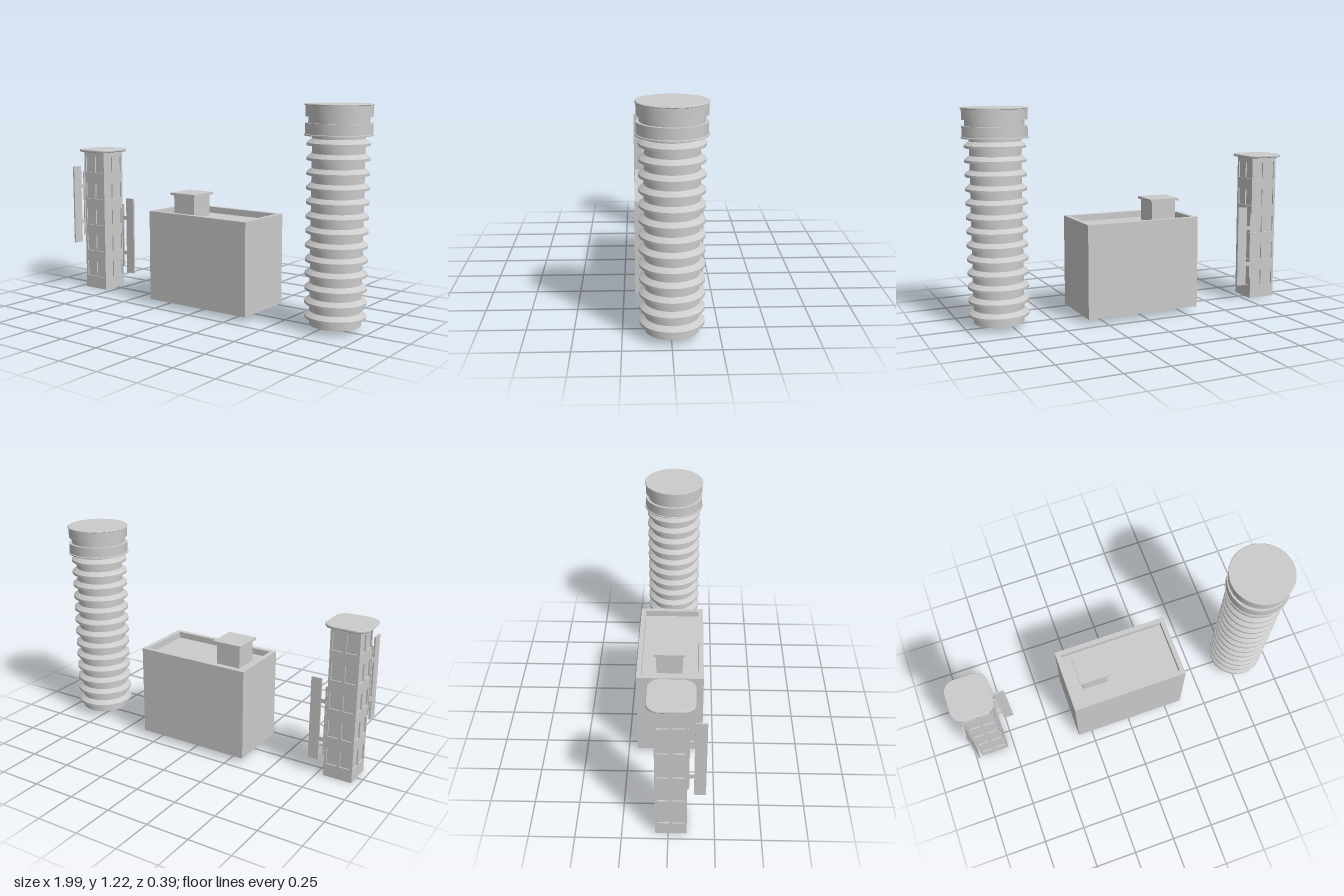
import * as THREE from 'three';
import { toCreasedNormals } from 'three/addons/utils/BufferGeometryUtils.js';

const grey = new THREE.MeshStandardMaterial({ color: 0xcccccc });

function add(parent, name, geometry, x = 0, y = 0, z = 0) {
  const mesh = new THREE.Mesh(geometry, grey);
  mesh.name = name;
  mesh.position.set(x, y, z);
  parent.add(mesh);
  return mesh;
}

function group(parent, name, x, y, z) {
  const g = new THREE.Group();
  g.name = name;
  g.position.set(x, y, z);
  parent.add(g);
  return g;
}

// Box given by its minimum and maximum corners
function box(parent, name, [x0, y0, z0], [x1, y1, z1]) {
  return add(parent, name, new THREE.BoxGeometry(x1 - x0, y1 - y0, z1 - z0),
    (x0 + x1) / 2, (y0 + y1) / 2, (z0 + z1) / 2);
}

function rect(PathType, x0, y0, x1, y1) {
  return new PathType([[x0, y0], [x1, y0], [x1, y1], [x0, y1]].map(p => new THREE.Vector2(...p)));
}

// Wall panel pierced by five rows of two windows
function windowPanel(width, height, depth) {
  const shape = rect(THREE.Shape, -width / 2, 0, width / 2, height);
  for (let row = 0; row < 5; row++) {
    for (const side of [-1, 1]) {
      const x = side * 0.04, y = 0.127 + row * 0.169;
      shape.holes.push(rect(THREE.Path, x - 0.031, y - 0.05, x + 0.031, y + 0.05));
    }
  }
  return new THREE.ExtrudeGeometry(shape, { depth, bevelEnabled: false });
}

// Flat slab with rounded corners and a slightly bevelled rim
function roofSlab(width, radius, thickness) {
  const h = width / 2, s = new THREE.Shape(), b = 0.004;
  const e = h - b, c = e - radius;
  s.absarc(c, c, radius, 0, Math.PI / 2);
  s.absarc(-c, c, radius, Math.PI / 2, Math.PI);
  s.absarc(-c, -c, radius, Math.PI, Math.PI * 1.5);
  s.absarc(c, -c, radius, Math.PI * 1.5, Math.PI * 2);
  return new THREE.ExtrudeGeometry(s, {
    depth: thickness - 2 * b, bevelThickness: b, bevelSize: b, bevelSegments: 1, curveSegments: 4,
  }).rotateX(-Math.PI / 2).translate(0, b, 0);
}

// Hanging blade sign reaching out along +x from a wall at x = 0
function bladeSign(parent, name, x, y, z) {
  const g = group(parent, name, x, y, z);
  box(g, 'signBoard', [0.035, 0, -0.005], [0.097, 0.49, 0.005]);
  box(g, 'wallPlate', [0, 0.04, -0.004], [0.01, 0.45, 0.004]);
  for (const by of [0.13, 0.36]) {
    box(g, 'signBracket', [0.01, by - 0.012, -0.004], [0.035, by + 0.012, 0.004]);
  }
  return g;
}

function windowTower(parent) {
  const w = 0.17, h = 0.885, d = 0.008;
  const g = group(parent, 'windowTower', -0.875, 0, 0.015);
  const inner = w / 2 - d;
  box(g, 'towerCore', [-inner, 0, -inner], [inner, h, inner]);
  for (let i = 0; i < 4; i++) {
    const face = group(g, 'towerWall', 0, 0, 0);
    face.rotation.y = i * Math.PI / 2;
    add(face, 'windowPanel', windowPanel(i % 2 ? w - 2 * d : w, h, d), 0, 0, inner);
  }
  add(g, 'towerRoof', roofSlab(0.248, 0.065, 0.016), 0, h, 0);
  bladeSign(g, 'sideSign', w / 2, 0.09, -0.084);
  bladeSign(g, 'frontSign', -0.085, 0.305, w / 2).rotation.y = -Math.PI / 2;
}

function blockBuilding(parent) {
  const g = group(parent, 'blockBuilding', 0.007, 0, -0.005);
  const x = 0.345, z = 0.191, rim = 0.028, top = 0.567, deck = 0.53;
  box(g, 'buildingBody', [-x, 0.03, -z], [x, deck, z]);
  // Parapet around the sunken roof
  const parapet = rect(THREE.Shape, -x, -z, x, z);
  parapet.holes.push(rect(THREE.Path, -x + rim, -z + rim, x - rim, z - rim));
  add(g, 'parapet', new THREE.ExtrudeGeometry(parapet, { depth: top - deck, bevelEnabled: false })
    .rotateX(-Math.PI / 2), 0, deck, 0);
  // Roof hut
  box(g, 'roofHut', [-0.253, deck, -0.079], [-0.103, 0.657, 0.071]);
  box(g, 'roofHutCap', [-0.268, 0.657, -0.094], [-0.088, 0.671, 0.086]);
}

function ribbedTower(parent) {
  const core = 0.14, profile = [[0, 0.03], [core, 0.03]];
  // Thirteen balcony rings: flat underside, short lip, sloped top
  for (let i = 0; i < 13; i++) {
    const y = 0.071 + i * 0.0773;
    profile.push([core, y], [0.167, y], [0.167, y + 0.014], [core, y + 0.036]);
  }
  // Crown: two drums with rims and a groove between them
  profile.push(
    [core, 1.05], [0.182, 1.05], [0.182, 1.056], [0.177, 1.058], [0.177, 1.116], [0.161, 1.116],
    [0.161, 1.15], [0.177, 1.15], [0.177, 1.207], [0.182, 1.209], [0.182, 1.213], [0.179, 1.216], [0, 1.216]);
  const lathe = new THREE.LatheGeometry(profile.map(p => new THREE.Vector2(...p)), 32);
  add(parent, 'ribbedTower', toCreasedNormals(lathe, 0.4), 0.812, 0, -0.005);
}

export function createModel() {
  const model = new THREE.Group();
  model.name = 'cityBuildings';
  windowTower(model);
  blockBuilding(model);
  ribbedTower(model);
  return model;
}
